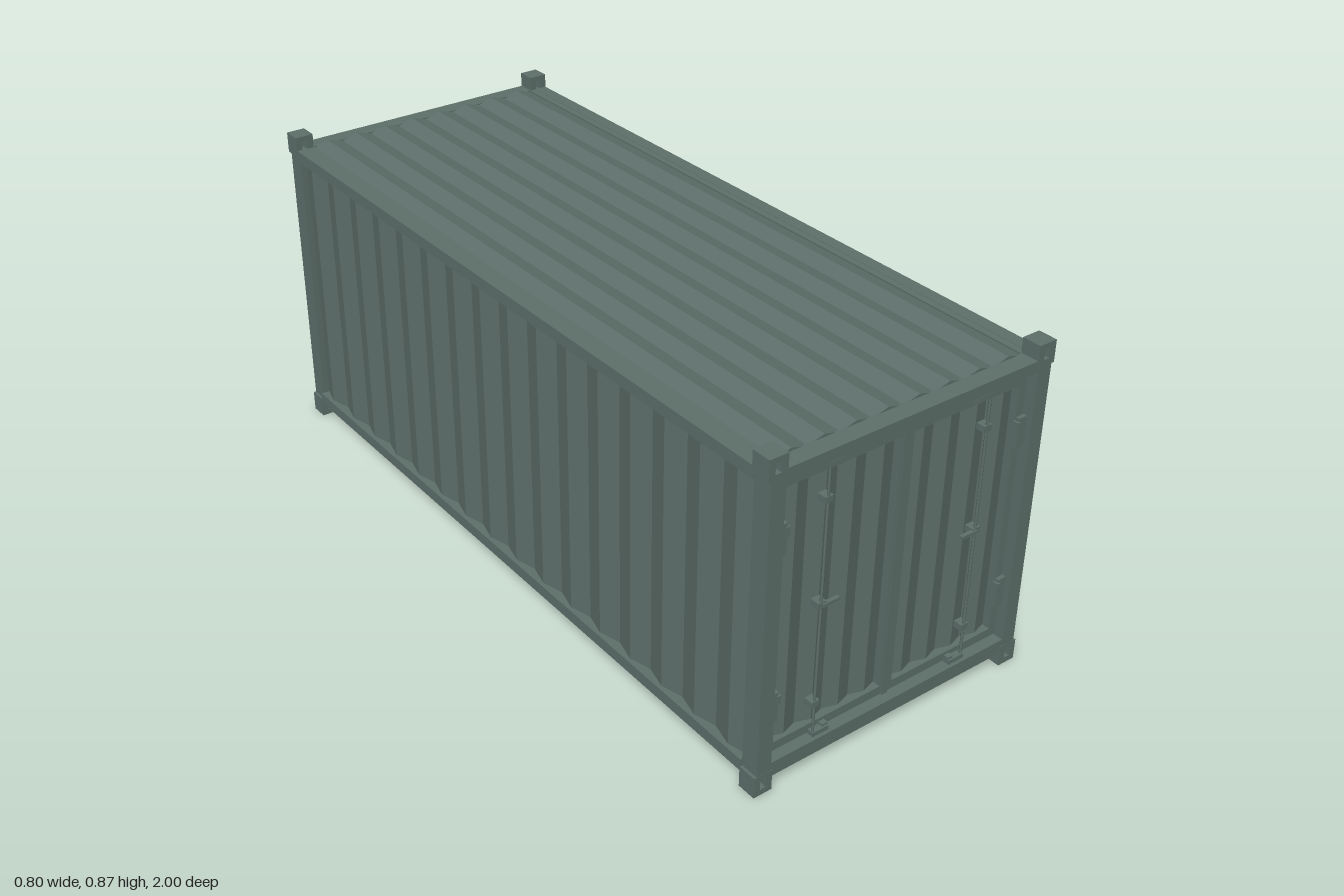
import * as THREE from 'three';

const steel = new THREE.MeshStandardMaterial({ color: 0x5e706b });
steel.name = 'grey green steel';

// Rectangle path from its limits
function rect(Type, x0, x1, y0, y1) {
  const p = new Type();
  p.moveTo(x0, y0);
  p.lineTo(x1, y0);
  p.lineTo(x1, y1);
  p.lineTo(x0, y1);
  p.closePath();
  return p;
}

function add(parent, name, geometry, x = 0, y = 0, z = 0) {
  const mesh = new THREE.Mesh(geometry, steel);
  mesh.name = name;
  mesh.position.set(x, y, z);
  parent.add(mesh);
  return mesh;
}

// Box given by its limits on each axis
function block(parent, name, [x0, x1], [y0, y1], [z0, z1]) {
  return add(parent, name, new THREE.BoxGeometry(x1 - x0, y1 - y0, z1 - z0),
    (x0 + x1) / 2, (y0 + y1) / 2, (z0 + z1) / 2);
}

// Flat ring: outer rectangle with a rectangular hole
function frame(outer, inner, depth) {
  const shape = rect(THREE.Shape, ...outer);
  shape.holes.push(rect(THREE.Path, ...inner));
  return new THREE.ExtrudeGeometry(shape, { depth, bevelEnabled: false });
}

// Upright folded sheet facing +z, ridges at z = ridge and valleys at z = 0
function corrugated(width, height, folds, ridge) {
  const shape = new THREE.Shape();
  shape.moveTo(-width / 2, 0.006);
  for (let i = 0; i <= folds * 2; i++) {
    shape.lineTo(-width / 2 + (width * i) / (folds * 2), i % 2 ? -ridge : 0);
  }
  shape.lineTo(width / 2, 0.006);
  shape.closePath();
  return new THREE.ExtrudeGeometry(shape, { depth: height, bevelEnabled: false }).rotateX(-Math.PI / 2);
}

// One door leaf with lock rod and hinges; s is the side it hangs on
function door(s) {
  const g = new THREE.Group();
  g.name = s > 0 ? 'leftDoor' : 'rightDoor';
  const span = (a, b) => (s > 0 ? [a, b] : [-b, -a]);

  add(g, 'doorFrame', frame([...span(0.002, 0.35), 0.08, 0.788], [...span(0.018, 0.33), 0.103, 0.763], 0.025), 0, 0, 0.95);
  add(g, 'doorPanel', corrugated(0.314, 0.662, 4, 0.012), s * 0.174, 0.102, 0.953);

  // Lock rod with guides, cams and handle
  const rodX = 0.226;
  add(g, 'lockRod', new THREE.CylinderGeometry(0.0035, 0.0035, 0.7, 10), s * rodX, 0.434, 0.986);
  for (const y of [0.167, 0.434, 0.7]) {
    block(g, 'rodGuide', span(rodX - 0.011, rodX + 0.011), [y - 0.008, y + 0.008], [0.966, 0.99]);
  }
  block(g, 'handle', span(0.18, rodX), [0.43, 0.438], [0.984, 0.994]);
  for (const [y, tip] of [[0.083, 0.086], [0.785, 0.782]]) {
    block(g, 'rodCam', span(0.184, rodX + 0.004), [y - 0.006, y + 0.006], [0.974, 0.992]);
    block(g, 'camHook', span(0.184, 0.2), [tip - 0.009, tip + 0.009], [0.974, 0.988]);
  }

  // Hinges
  for (const y of [0.211, 0.645]) {
    block(g, 'hingeLeaf', span(0.33, 0.353), [y - 0.039, y + 0.039], [0.972, 0.985]);
    block(g, 'hingeLug', span(0.325, 0.335), [y + 0.006, y + 0.03], [0.972, 0.988]);
  }
  return g;
}

export function createModel() {
  const model = new THREE.Group();
  model.name = 'shippingContainer';

  // Corner castings and posts
  const casting = frame([-0.025, 0.025, 0, 0.055], [-0.008, 0.008, 0.015, 0.042], 0.05).translate(0, 0, -0.025);
  for (const sx of [-1, 1]) {
    for (const sz of [-1, 1]) {
      for (const y of [0, 0.81]) add(model, 'cornerCasting', casting, sx * 0.375, y, sz * 0.975);
      add(model, 'cornerPost', new THREE.BoxGeometry(0.039, 0.757, 0.05), sx * 0.3735, 0.4335, sz * 0.9745);
    }
  }

  // Long side rails
  for (const s of [-1, 1]) {
    const x = s > 0 ? [0.365, 0.399] : [-0.399, -0.365];
    block(model, 'bottomSideRail', x, [0.043, 0.074], [-0.951, 0.951]);
    block(model, 'topSideRail', x, [0.797, 0.828], [-0.951, 0.951]);
  }

  // End rails, front and back
  for (const s of [-1, 1]) {
    const z = s > 0 ? [0.952, 0.998] : [-0.998, -0.952];
    block(model, 'endSill', [-0.356, 0.356], [0.036, 0.074], z);
    block(model, 'endHeader', [-0.356, 0.356], [0.797, 0.827], z);
  }

  // Corrugated walls and roof
  for (const s of [-1, 1]) {
    const wall = add(model, 'sideWall', corrugated(1.91, 0.73, 16, 0.015), s * 0.374, 0.07, 0);
    wall.rotation.y = (s * Math.PI) / 2;
  }
  const back = add(model, 'backWall', corrugated(0.72, 0.73, 6, 0.015), 0, 0.07, -0.965);
  back.rotation.y = Math.PI;
  const roof = add(model, 'roof', corrugated(0.696, 1.91, 8, 0.012), 0, 0.823, 0.955);
  roof.rotation.x = -Math.PI / 2;
  for (const s of [-1, 1]) {
    block(model, 'roofEdge', s > 0 ? [0.347, 0.37] : [-0.37, -0.347], [0.815, 0.827], [-0.952, 0.952]);
  }

  // Floor and cross members
  block(model, 'floor', [-0.37, 0.37], [0.06, 0.07], [-0.955, 0.955]);
  for (let i = -2; i <= 2; i++) {
    block(model, 'crossMember', [-0.366, 0.366], [0.037, 0.062], [i * 0.385 - 0.015, i * 0.385 + 0.015]);
  }

  // Doors, with the backing that closes the gaps and the overlapping centre seal
  model.add(door(-1), door(1));
  block(model, 'doorSeal', [-0.356, 0.356], [0.072, 0.799], [0.94, 0.948]);
  block(model, 'centreSeal', [-0.015, 0.003], [0.08, 0.788], [0.96, 0.98]);

  return model;
}
